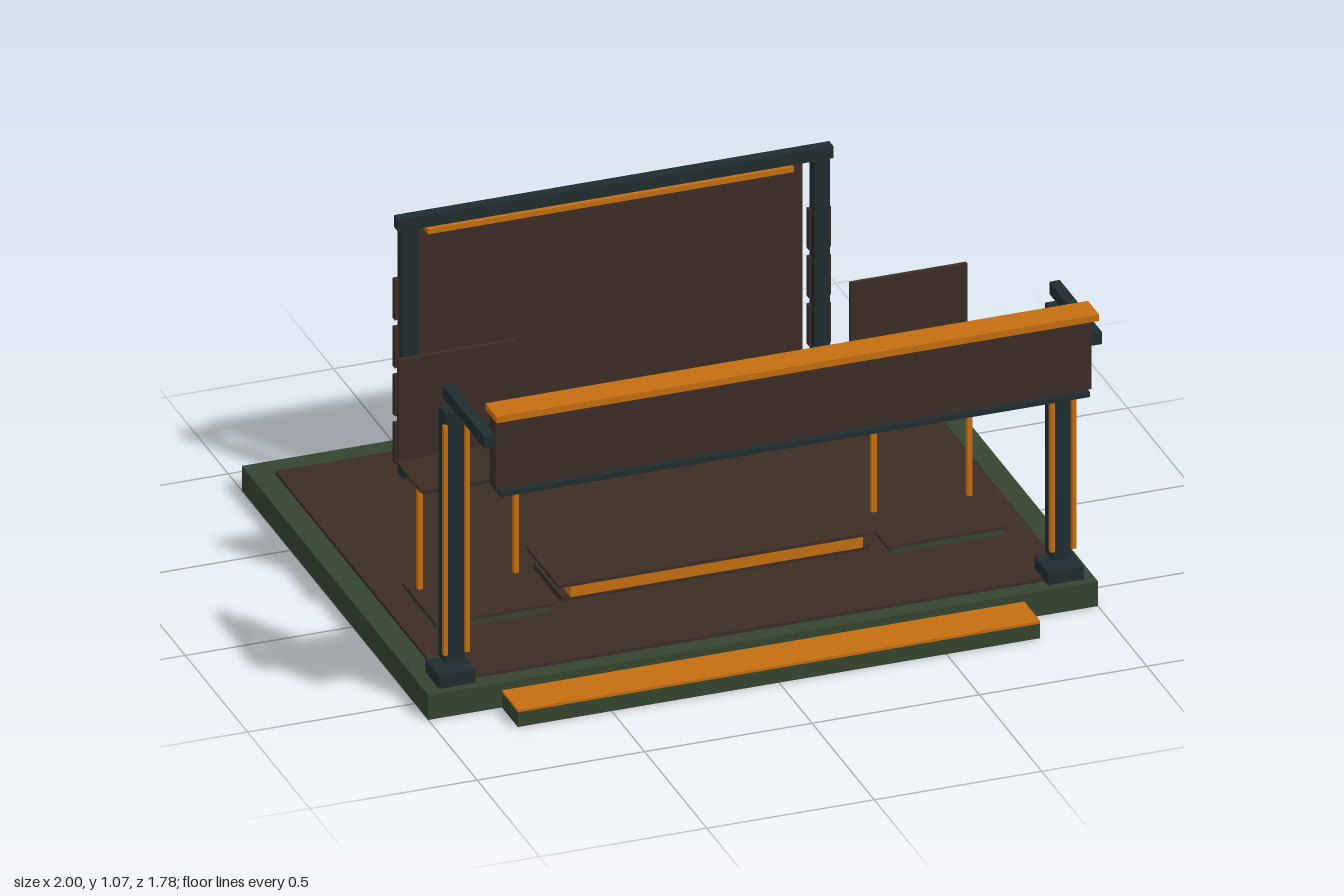
import * as THREE from 'three';

const green = new THREE.MeshStandardMaterial({ name: 'mossGreen', color: 0x35452f });
const brown = new THREE.MeshStandardMaterial({ name: 'darkBrown', color: 0x3c2c24 });
const slate = new THREE.MeshStandardMaterial({ name: 'darkSlate', color: 0x1f2d30 });
const orange = new THREE.MeshStandardMaterial({ name: 'amber', color: 0xc46e10 });

// Box given by its extents on each axis
function box(parent, name, mat, [x0, x1], [y0, y1], [z0, z1]) {
  const mesh = new THREE.Mesh(new THREE.BoxGeometry(x1 - x0, y1 - y0, z1 - z0), mat);
  mesh.position.set((x0 + x1) / 2, (y0 + y1) / 2, (z0 + z1) / 2);
  mesh.name = name;
  parent.add(mesh);
}

// The same box on both sides of the model
function pair(parent, name, mat, [x0, x1], y, z) {
  box(parent, name + 'Left', mat, [x0, x1], y, z);
  box(parent, name + 'Right', mat, [-x1, -x0], y, z);
}

function section(root, name) {
  const g = new THREE.Group();
  g.name = name;
  root.add(g);
  return g;
}

export function createModel() {
  const root = new THREE.Group();
  root.name = 'stagePavilion';

  // Ground slab, floor and entrance step
  const base = section(root, 'base');
  box(base, 'slab', green, [-1, 1], [0, 0.078], [-0.89, 0.607]);
  box(base, 'floor', brown, [-0.93, 0.93], [0.078, 0.088], [-0.81, 0.555]);
  box(base, 'step', green, [-0.78, 0.78], [0, 0.046], [0.607, 0.735]);
  box(base, 'stepTread', orange, [-0.78, 0.78], [0.046, 0.054], [0.607, 0.735]);

  // Front gateway: feet, posts, light strips and arms
  const gate = section(root, 'frontGateway');
  pair(gate, 'postFoot', slate, [0.855, 0.963], [0.085, 0.126], [0.487, 0.595]);
  pair(gate, 'post', slate, [0.877, 0.935], [0.148, 0.932], [0.513, 0.571]);
  pair(gate, 'outerStrip', orange, [0.932, 0.945], [0.18, 0.9], [0.568, 0.584]);
  pair(gate, 'innerStrip', orange, [0.867, 0.88], [0.18, 0.9], [0.568, 0.584]);
  pair(gate, 'arm', slate, [0.891, 0.922], [0.956, 0.994], [0.51, 0.85]);

  // Fascia board carried by the arms
  const fascia = section(root, 'fascia');
  box(fascia, 'fasciaBoard', brown, [-0.89, 0.89], [0.82, 1.05], [0.803, 0.85]);
  box(fascia, 'fasciaCap', orange, [-0.9, 0.9], [1.05, 1.07], [0.796, 0.886]);
  box(fascia, 'fasciaTrim', slate, [-0.88, 0.88], [0.805, 0.82], [0.808, 0.867]);

  // Back wall with its frame and side tiles
  const back = section(root, 'backWall');
  box(back, 'wallPanel', brown, [-0.587, 0.587], [0.15, 0.858], [-0.693, -0.657]);
  box(back, 'wallLedge', orange, [-0.547, 0.547], [0.858, 0.874], [-0.665, -0.615]);
  box(back, 'frameBeam', slate, [-0.65, 0.65], [0.903, 0.94], [-0.61, -0.575]);
  pair(back, 'framePost', slate, [0.592, 0.638], [0.126, 0.903], [-0.613, -0.57]);
  for (let i = 0; i < 4; i++) {
    const y = 0.16 + i * 0.151;
    pair(back, 'sideTile' + i, brown, [0.585, 0.651], [y, y + 0.126], [-0.619, -0.6]);
  }

  // Low central stage
  const stage = section(root, 'stage');
  box(stage, 'stagePlinth', brown, [-0.46, 0.46], [0.088, 0.106], [0, 0.22]);
  box(stage, 'stageBody', orange, [-0.437, 0.437], [0.106, 0.145], [0.005, 0.235]);
  box(stage, 'stageTop', brown, [-0.477, 0.477], [0.145, 0.155], [-0.012, 0.245]);

  // Two side desks with upright screens
  const desks = section(root, 'desks');
  pair(desks, 'deskPlatform', green, [0.51, 0.845], [0.088, 0.108], [0.01, 0.265]);
  pair(desks, 'deskPlatformTop', brown, [0.497, 0.853], [0.108, 0.116], [0.005, 0.272]);
  for (const x of [0.527, 0.813]) {
    pair(desks, 'deskLeg', orange, [x, x + 0.015], [0.116, 0.462], [0.047, 0.062]);
  }
  pair(desks, 'deskUnderside', slate, [0.505, 0.845], [0.46, 0.47], [-0.036, 0.145]);
  pair(desks, 'deskTop', brown, [0.495, 0.855], [0.47, 0.477], [-0.052, 0.155]);
  pair(desks, 'deskScreen', brown, [0.5, 0.85], [0.477, 0.795], [-0.049, -0.037]);

  return root;
}
